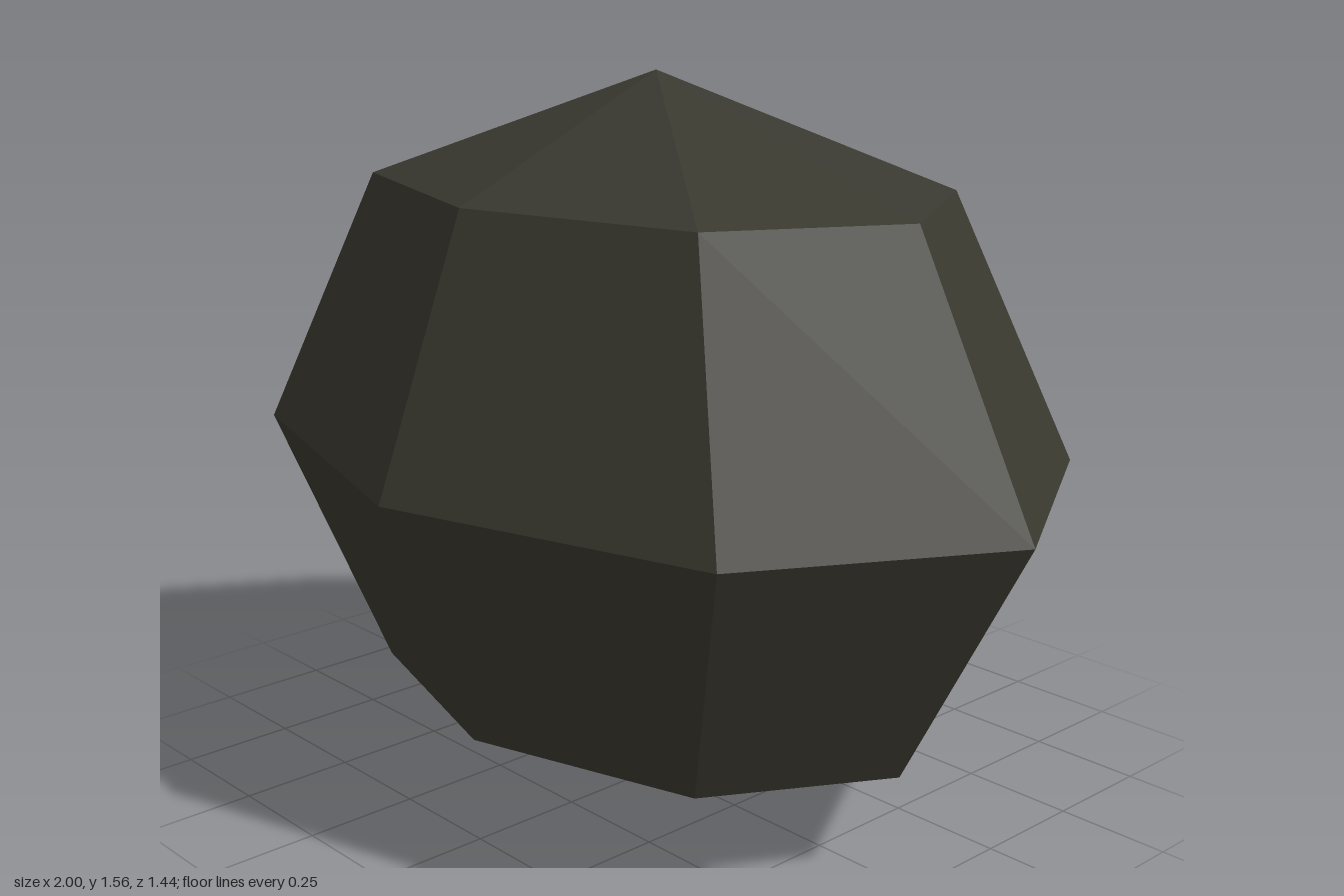
import * as THREE from 'three';

export function createModel() {
  const group = new THREE.Group();
  group.name = 'stone';

  const darkStone = new THREE.MeshStandardMaterial({ color: 0x3a3930 });
  darkStone.name = 'dark stone';
  darkStone.flatShading = true;

  // Faceted boulder: an eight-sided, four-band ball stretched along x
  const radius = { x: 1, y: 0.778, z: 0.72 };
  const geometry = new THREE.SphereGeometry(1, 8, 4);
  geometry.scale(radius.x, radius.y, radius.z);
  geometry.translate(0, radius.y, 0);

  const boulder = new THREE.Mesh(geometry, darkStone);
  boulder.name = 'boulder';
  group.add(boulder);
  return group;
}
